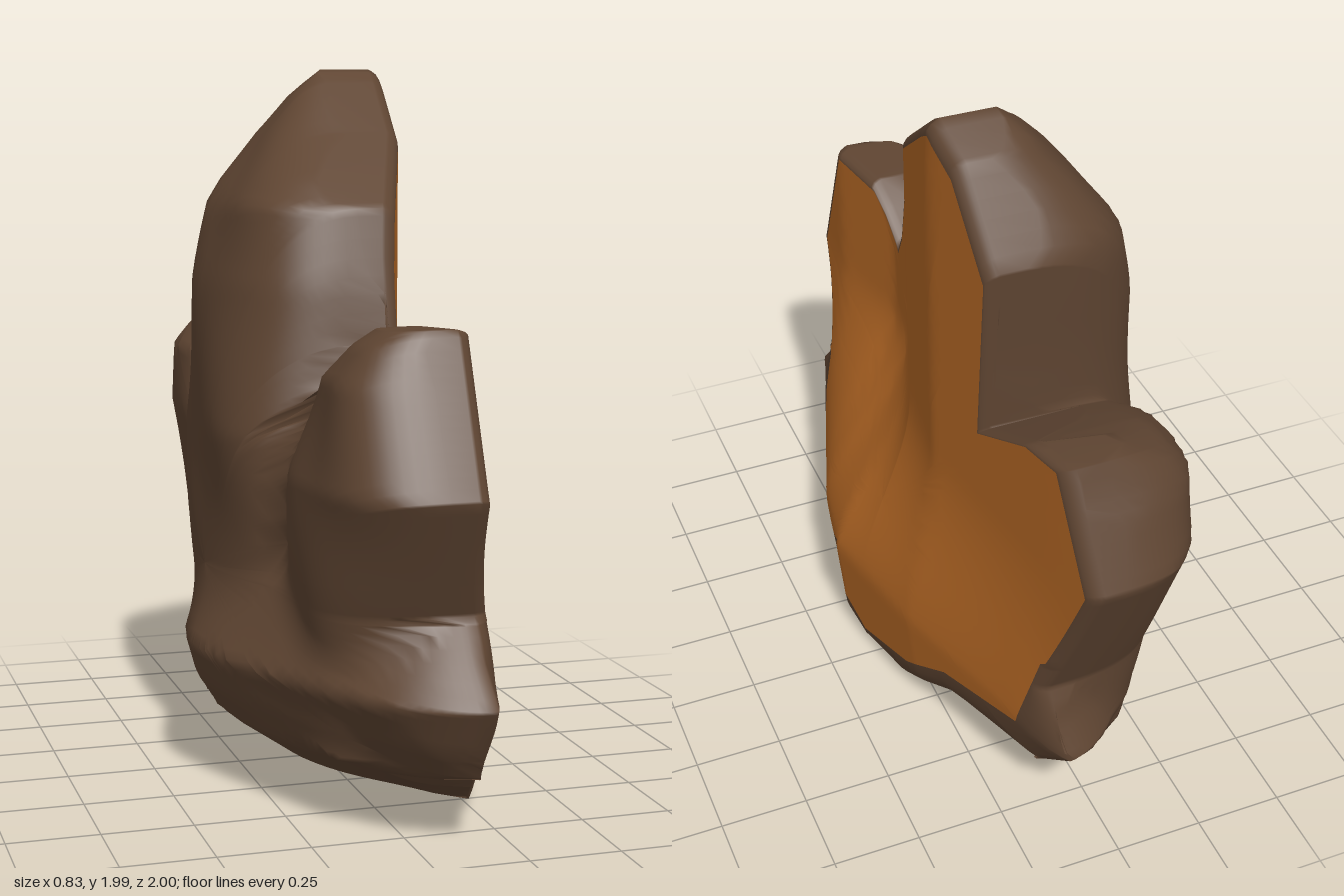
import * as THREE from 'three';

// Linear lookup in rows [position, values...]; returns the interpolated row
function lookup(rows, p) {
  if (p <= rows[0][0]) return rows[0];
  for (let i = 1; i < rows.length; i++) {
    const a = rows[i - 1], b = rows[i];
    if (p <= b[0]) return a.map((v, j) => v + (b[j] - v) * (p - a[0]) / (b[0] - a[0]));
  }
  return rows[rows.length - 1];
}

// Depth of the split face: gently curved above, swelling near the base
const upperFace = [[-1, .11], [-.8, .15], [-.25, .25], [0, .225], [.3, .115], [.45, .1], [.75, .16], [1, .15]];
const lowerFace = [[-1, .1], [-.72, .2], [-.25, .34], [.15, .42], [.4, .37], [.6, .3], [.9, .2]];
function faceX(z, y) {
  const w = 1 - THREE.MathUtils.smoothstep(y, .3, .95);
  return THREE.MathUtils.lerp(lookup(upperFace, z)[1], lookup(lowerFace, z)[1], w) - .1 * Math.max(0, .35 - y);
}
const BEVEL = .035;

// Swellings of the back, as levels of [y, zMin, zMax, xBack]
const spire = [
  [.2, -.46, .4, -.32], [1, -.485, .39, -.36], [1.4, -.5, .325, -.32], [1.61, -.515, .27, -.27],
  [1.68, -.52, .19, -.22], [1.81, -.445, 0, -.12], [1.92, -.37, -.14, -.02], [1.99, -.27, -.23, .07],
];
const frontLobe = [
  [.2, .15, .78, -.2], [.6, .2, .82, -.22], [.92, .25, .97, -.23],
  [1.19, .4, .845, -.17], [1.28, .52, .805, -.1], [1.33, .58, .78, -.03],
];
const rearLobe = [
  [.2, -.78, -.15, -.2], [.5, -.8, -.2, -.24], [.97, -1, -.25, -.28],
  [1.15, -.925, -.4, -.26], [1.22, -.89, -.56, -.19], [1.3, -.86, -.76, -.03],
];
const foot = [
  [.005, -.14, .05, .2], [.04, -.19, .58, .05], [.09, -.28, .64, -.16], [.19, -.77, .88, -.32],
  [.28, -.88, .94, -.38], [.4, -.83, 1, -.41], [.6, -.79, .82, -.31], [.95, -.8, .8, 0],
];
// p and e set how boxy each cross-section is
const swellings = [
  { levels: spire, p: 3.2, e: .32 }, { levels: frontLobe, p: 3, e: .35 },
  { levels: rearLobe, p: 3, e: .35 }, { levels: foot, p: 1.7, e: .52 },
];

// Back depth: the swellings melted together with a smooth minimum
function backX(z, y) {
  const rim = faceX(z, y) - BEVEL, K = .05;
  let x = rim;
  for (const { levels, p, e } of swellings) {
    if (y < levels[0][0] || y > levels[levels.length - 1][0]) continue;
    const [, z0, z1, xBack] = lookup(levels, y);
    const s = Math.abs(2 * z - z0 - z1) / (z1 - z0);
    if (s >= 1) continue;
    const xi = THREE.MathUtils.lerp(rim, xBack, (1 - s ** p) ** e);
    const h = Math.max(K - Math.abs(x - xi), 0) / K;
    x = Math.min(x, xi) - h * h * K / 4;
  }
  return x + .008 * Math.sin(9 * y + 8 * z);
}

// Outlines as [z, y], star-shaped about the centre
const CZ = 0, CY = .6;
const bodyOutline = [
  [-.25, 1.99], [-.37, 1.92], [-.52, 1.68], [-.49, 1.18], [-.72, 1.29], [-.86, 1.3], [-1, .97],
  [-.8, .5], [-.88, .28], [-.75, .18], [-.4, .15], [-.14, .01], [.05, .005],
  [.3, .05], [.6, .04], [.71, .17], [.89, .19], [1, .4], [.82, .6],
  [.97, .92], [.78, 1.33], [.57, 1.32], [.41, 1.19], [.36, 1.27], [.27, 1.61], [0, 1.81], [-.2, 1.96],
];
// Ragged lower limit of the face; it is open wide above
const raggedOutline = [
  [-2, 3], [-2, .8], [-.8, .6], [-.72, .32], [-.4, .25], [-.2, .13], [.05, .06], [.15, .13], [.19, .25],
  [.16, .35], [.3, .27], [.45, .21], [.55, .35], [.66, .34], [.77, .43], [.78, .58], [2, .8], [2, 3],
];

// Distance from the centre to an outline in direction a
function reach(outline, a) {
  const dz = Math.cos(a), dy = Math.sin(a);
  let best = 0;
  outline.forEach(([z, y], i) => {
    const [nz, ny] = outline[(i + 1) % outline.length];
    const pz = z - CZ, py = y - CY, ez = nz - z, ey = ny - y;
    const s = -(pz * dy - py * dz) / (ez * dy - ey * dz);
    if (s >= -1e-6 && s <= 1 + 1e-6) best = Math.max(best, (pz + s * ez) * dz + (py + s * ey) * dy);
  });
  return best;
}

// Spokes at every outline corner, with even ones in between
const angles = [...bodyOutline, ...raggedOutline].map(([z, y]) => Math.atan2(y - CY, z - CZ));
for (let i = 0; i < 200; i++) angles.push((i + .37) / 200 * Math.PI * 2 - Math.PI);
angles.sort((a, b) => a - b);
const spokes = angles.map((a) => {
  const body = reach(bodyOutline, a);
  return { c: Math.cos(a), s: Math.sin(a), body, face: Math.min(reach(raggedOutline, a), body * .965) };
});

// Join rings of points; each ring gives a radius and depth for a spoke
function rings(list) {
  const n = spokes.length, pos = [], index = [];
  for (const { radius, depth } of list)
    for (const spoke of spokes) {
      const r = radius(spoke), z = CZ + r * spoke.c, y = CY + r * spoke.s;
      pos.push(depth(z, y), y, z);
    }
  for (let k = 0; k < list.length - 1; k++)
    for (let i = 0; i < n; i++) {
      const a = k * n + i, b = k * n + (i + 1) % n;
      index.push(a, b, b + n, a, b + n, a + n);
    }
  const g = new THREE.BufferGeometry();
  g.setAttribute('position', new THREE.Float32BufferAttribute(pos, 3));
  g.setIndex(index);
  g.computeVertexNormals();
  return g;
}

export function createModel() {
  const group = new THREE.Group();
  const brown = new THREE.MeshStandardMaterial({ color: 0x5f4532 });
  brown.name = 'dark brown crust';
  const orange = new THREE.MeshStandardMaterial({ color: 0xb56825 });
  orange.name = 'orange inner face';

  // Orange split face, from the centre to its ragged edge
  const faceRings = [];
  for (let k = 0; k <= 20; k++) faceRings.push({ radius: (s) => s.face * k / 20, depth: faceX });

  // Brown crust: a bevelled border round the face, then over the rim and across the back
  const crustRings = [0, .35, .7, .9, 1].map((t) => ({
    radius: (s) => s.face + (s.body - s.face) * t,
    depth: (z, y) => faceX(z, y) - BEVEL * t ** 3,
  }));
  for (let k = 1; k <= 30; k++) crustRings.push({ radius: (s) => s.body * (1 - (k / 30) ** 2), depth: backX });

  for (const [name, list, material] of [['splitFace', faceRings, orange], ['crust', crustRings, brown]]) {
    const mesh = new THREE.Mesh(rings(list), material);
    mesh.name = name;
    group.add(mesh);
  }
  return group;
}
